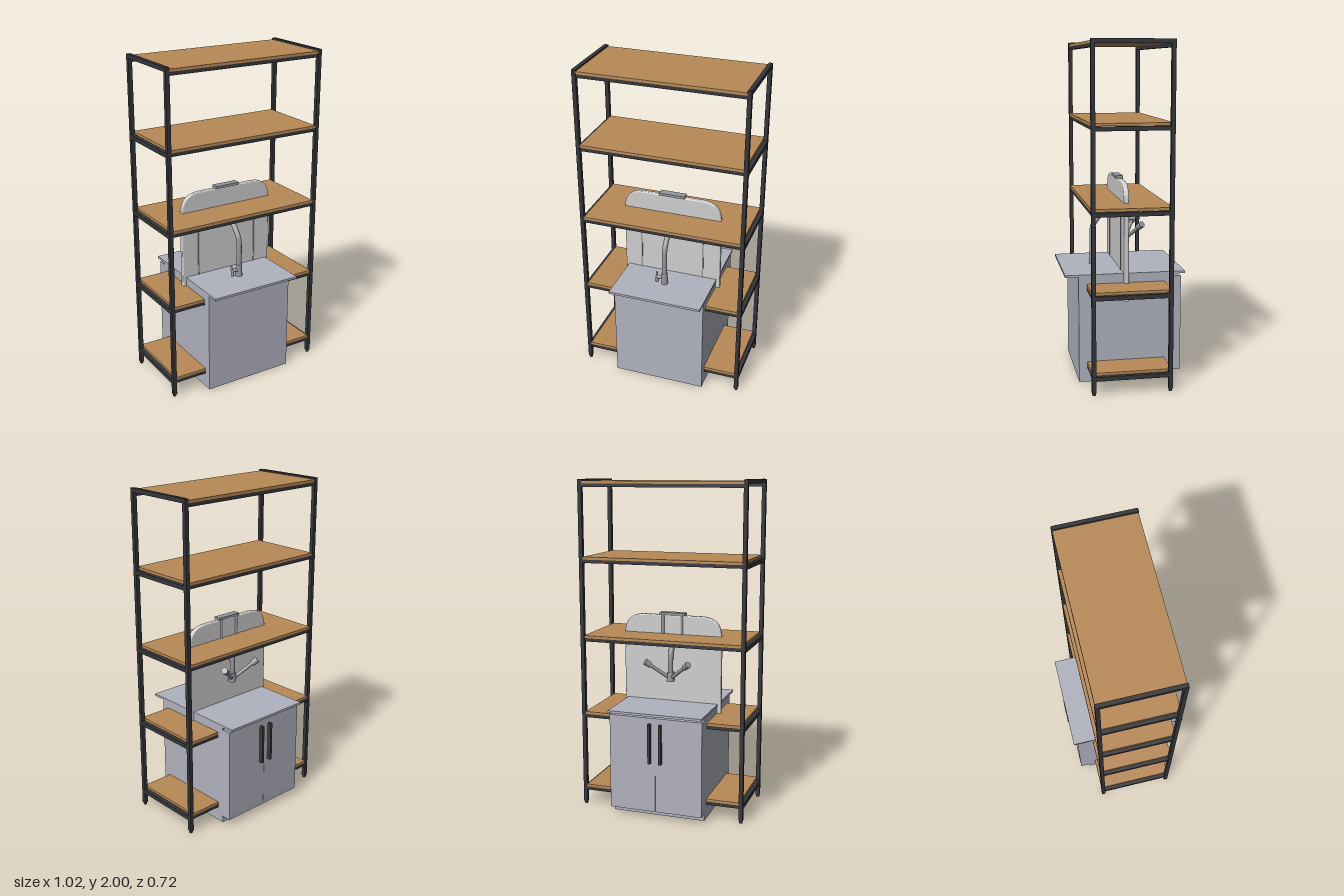
import * as THREE from 'three';

export function createModel() {
  const root = new THREE.Group();
  root.name = 'shelvingWithSink';
  const mat = (name, color, side = THREE.FrontSide) => {
    const m = new THREE.MeshStandardMaterial({ color, side });
    m.name = name;
    return m;
  };
  const wood = mat('wood', 0xb98a57);
  const iron = mat('darkIron', 0x35363a);
  const paint = mat('cabinetGrey', 0xb0b2be);
  const shell = mat('paleGrey', 0xcfcfcf);
  const steel = mat('steel', 0x96989d);
  const grip = mat('gripDark', 0x3b3b3a);

  const add = (name, geo, m, parent = root) => {
    const mesh = new THREE.Mesh(geo, m);
    mesh.name = name;
    parent.add(mesh);
    return mesh;
  };
  // Box given by its limits on each axis
  const box = (name, [x0, x1], [y0, y1], [z0, z1], m, parent) => {
    const b = add(name, new THREE.BoxGeometry(x1 - x0, y1 - y0, z1 - z0), m, parent);
    b.position.set((x0 + x1) / 2, (y0 + y1) / 2, (z0 + z1) / 2);
    return b;
  };
  const group = (name) => {
    const g = new THREE.Group();
    g.name = name;
    root.add(g);
    return g;
  };
  const v = (x, y, z) => new THREE.Vector3(x, y, z);
  const tube = (name, pts, r, m, parent, tension = 0.5) =>
    add(name, new THREE.TubeGeometry(
      new THREE.CatmullRomCurve3(pts, false, 'catmullrom', tension), 48, r, 14), m, parent);
  // Round bar with closed ends between two points
  const rod = (name, a, b, r0, r1, m, parent) => {
    const d = b.clone().sub(a);
    const c = add(name, new THREE.CylinderGeometry(r1, r0, d.length(), 18), m, parent);
    c.position.copy(a).add(b).multiplyScalar(0.5);
    c.quaternion.setFromUnitVectors(v(0, 1, 0), d.normalize());
    return c;
  };

  // Posts, feet and end rails
  const frame = group('frame');
  const tops = [1.99, 1.547, 1.073, 0.598, 0.127];
  for (const s of [-1, 1]) {
    const xs = s < 0 ? [-0.511, -0.487] : [0.487, 0.511];
    for (const t of [-1, 1]) {
      box('post', xs, [0.015, 1.999], t < 0 ? [-0.235, -0.211] : [0.211, 0.235], iron, frame);
      rod('foot', v(s * 0.499, 0, t * 0.223), v(s * 0.499, 0.016, t * 0.223), 0.01, 0.012, iron, frame);
    }
    tops.forEach((y, i) => {
      const top = i === 0 ? 2 : y - 0.017;
      box('endRail', xs, [top - 0.025, top], [-0.22, 0.22], iron, frame);
    });
  }

  // Shelf boards on long rails
  const shelves = group('shelves');
  for (const y of tops) {
    box('board', [-0.488, 0.488], [y - 0.016, y], [-0.232, 0.232], wood, shelves);
    for (const t of [-1, 1]) {
      box('longRail', [-0.488, 0.488], [y - 0.036, y - 0.016],
        t < 0 ? [-0.232, -0.21] : [0.21, 0.232], iron, shelves);
    }
  }

  // Sink cabinet with doors facing the back
  const cabinet = group('cabinet');
  box('body', [-0.287, 0.287], [0.003, 0.642], [-0.272, 0.28], paint, cabinet);
  for (const s of [-1, 1]) {
    box('door', s < 0 ? [-0.287, -0.0005] : [0.0005, 0.287], [0.045, 0.626], [-0.332, -0.27], paint, cabinet);
    box('doorHandle', s < 0 ? [-0.042, -0.028] : [0.026, 0.04], [0.35, 0.592], [-0.357, -0.331], grip, cabinet);
  }
  box('countertop', [-0.29, 0.29], [0.641, 0.655], [-0.356, 0.359], paint, cabinet);

  // Upright back panel with rounded top corners
  const panel = group('backPanel');
  const outline = new THREE.Shape();
  outline.moveTo(-0.303, 0.497);
  outline.lineTo(0.303, 0.497);
  outline.lineTo(0.303, 1.06);
  outline.bezierCurveTo(0.3, 1.15, 0.26, 1.18, 0.18, 1.181);
  outline.lineTo(-0.18, 1.181);
  outline.bezierCurveTo(-0.26, 1.18, -0.3, 1.15, -0.303, 1.06);
  add('panelBody', new THREE.ExtrudeGeometry(outline, {
    depth: 0.018, bevelThickness: 0.006, bevelSize: 0.007, bevelSegments: 3, curveSegments: 16,
  }), shell, panel).position.z = -0.009;
  for (const s of [-1, 1]) {
    const x = s * 0.2;
    box('rib', [x - 0.004, x + 0.004], [0.655, 0.99], [0.01, 0.02], steel, panel);
  }

  // Hanging handle over the top of the panel
  box('topCap', [-0.08, 0.08], [1.188, 1.204], [-0.02, 0.025], steel, panel);
  for (const s of [-1, 1]) {
    rod('handleLeg', v(s * 0.06, 1.02, -0.014), v(s * 0.06, 1.195, -0.014), 0.009, 0.009, steel, panel);
  }

  // Gooseneck tap with a side lever
  const tap = group('tap');
  rod('tapBase', v(0, 0.65, 0.158), v(0, 0.73, 0.158), 0.021, 0.019, steel, tap);
  tube('neck', [v(0, 0.72, 0.158), v(0, 0.87, 0.157), v(0, 0.93, 0.13), v(0, 0.975, 0.08),
    v(0, 1.0, 0.02), v(0, 0.985, -0.025), v(0, 0.93, -0.046), v(0, 0.8, -0.046)], 0.016, steel, tap);
  rod('leverPivot', v(0, 0.695, 0.158), v(-0.048, 0.695, 0.158), 0.011, 0.011, steel, tap);
  rod('lever', v(-0.048, 0.665, 0.165), v(-0.052, 0.725, 0.152), 0.009, 0.006, steel, tap);

  // Hub and two angled spouts behind the panel
  rod('hub', v(0, 0.785, -0.046), v(0, 0.84, -0.046), 0.025, 0.022, steel, tap);
  for (const s of [-1, 1]) {
    rod('arm', v(0, 0.8, -0.046), v(s * 0.12, 0.9, -0.115), 0.011, 0.011, steel, tap);
    rod('armEnd', v(s * 0.108, 0.89, -0.108), v(s * 0.137, 0.914, -0.125), 0.018, 0.02, steel, tap);
  }
  return root;
}
